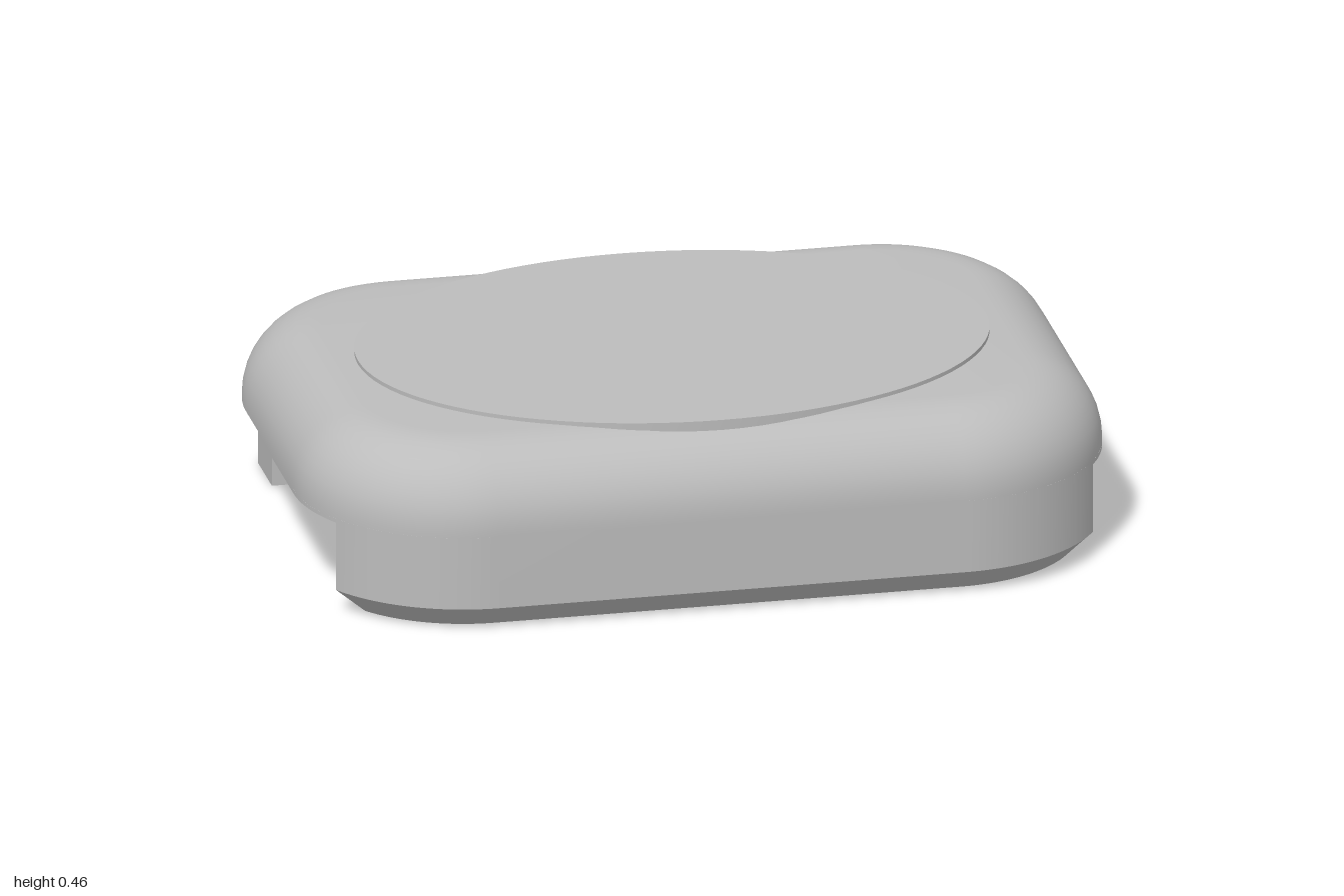
import * as THREE from 'three';
import { toCreasedNormals } from 'three/addons/utils/BufferGeometryUtils.js';

const HALF_X = 1, HALF_Z = 0.695, CORNER = 0.42;

// Slice of the rounded-rectangle plan between two z values, shrunk by inset
function outline(y, inset = 0, z0 = -9, z1 = 9, steps = 48) {
  const Z = HALF_Z - inset, r = CORNER - inset, cz = HALF_Z - CORNER;
  const p0 = Math.asin(Math.max(z0 / Z, -1)), p1 = Math.asin(Math.min(z1 / Z, 1));
  const side = [];
  for (let i = 0; i <= steps; i++) {
    const z = Z * Math.sin(p0 + (p1 - p0) * i / steps);
    const d = Math.max(Math.abs(z) - cz, 0);
    const x = HALF_X - CORNER + Math.sqrt(Math.max(r * r - d * d, 0));
    side.push([x, y, z]);
  }
  return [...side, ...side.slice().reverse().map(([x, h, z]) => [-x, h, z])];
}

// Closed solid through convex rings stacked from bottom to top
function loft(rings) {
  const n = rings[0].length, index = [], last = (rings.length - 1) * n;
  for (let k = 0; k < rings.length - 1; k++) {
    for (let i = 0; i < n; i++) {
      const a = k * n + i, b = k * n + (i + 1) % n;
      index.push(a, a + n, b, b, a + n, b + n);
    }
  }
  for (let i = 1; i < n - 1; i++) {
    index.push(0, i, i + 1, last, last + i + 1, last + i);
  }
  const g = new THREE.BufferGeometry();
  g.setAttribute('position', new THREE.Float32BufferAttribute(rings.flat(2), 3));
  g.setIndex(index);
  return toCreasedNormals(g, 0.5);
}

export function createModel() {
  const model = new THREE.Group();
  model.name = 'roundedCover';
  const grey = new THREE.MeshStandardMaterial({ color: 0xbcbcbc });
  grey.name = 'light grey';

  const add = (name, geometry) => {
    const mesh = new THREE.Mesh(geometry, grey);
    mesh.name = name;
    model.add(mesh);
    return mesh;
  };
  const box = (name, x0, x1, y0, y1, z0, z1) =>
    add(name, new THREE.BoxGeometry(x1 - x0, y1 - y0, z1 - z0))
      .position.set((x0 + x1) / 2, (y0 + y1) / 2, (z0 + z1) / 2);

  // Upper shell with a rounded top edge
  const R = 0.19, top = 0.45, rings = [outline(0.245)];
  for (let i = 0; i <= 10; i++) {
    const t = i / 10 * Math.PI / 2;
    rings.push(outline(top - R + R * Math.sin(t), R * (1 - Math.cos(t))));
  }
  add('upperShell', loft(rings));

  // Slightly lower front half of the underside
  add('undersideStep', loft([outline(0.235, 0, -0.05, 0.49), outline(0.245, 0, -0.05, 0.49)]));

  // Front and back skirts with a chamfered foot
  for (const [name, z0, z1] of [['frontSkirt', 0.49, 9], ['backSkirt', -9, -0.55]]) {
    add(name, loft([
      outline(0, 0.06, z0, z1), outline(0.06, 0, z0, z1), outline(0.245, 0, z0, z1),
    ]));
  }

  // Raised oval plate on top
  const plate = add('ovalPlate', toCreasedNormals(new THREE.CylinderGeometry(1, 1, 0.04, 96), 0.5));
  plate.scale.set(0.78, 1, 0.58);
  plate.position.y = 0.44;

  // Inner rail, separated from the back skirt by a narrow groove
  box('innerRail', -0.8, 0.8, 0, 0.245, -0.51, -0.39);
  box('grooveRib', -0.04, 0.04, 0, 0.245, -0.55, -0.51);
  for (const s of [-1, 1]) {
    box('endTab', s * 0.855 - 0.055, s * 0.855 + 0.055, 0, 0.245, -0.55, -0.39);
  }

  // Small chamfered post in front of the rail
  const profile = new THREE.Shape([[0.33, 0], [0.39, 0], [0.39, 0.205], [0.31, 0.205], [0.31, 0.02]]
    .map(([a, b]) => new THREE.Vector2(a, b)));
  const post = new THREE.ExtrudeGeometry(profile, { depth: 0.08, bevelEnabled: false });
  post.translate(0, 0, -0.04).rotateY(Math.PI / 2);
  add('railPost', post);

  return model;
}
